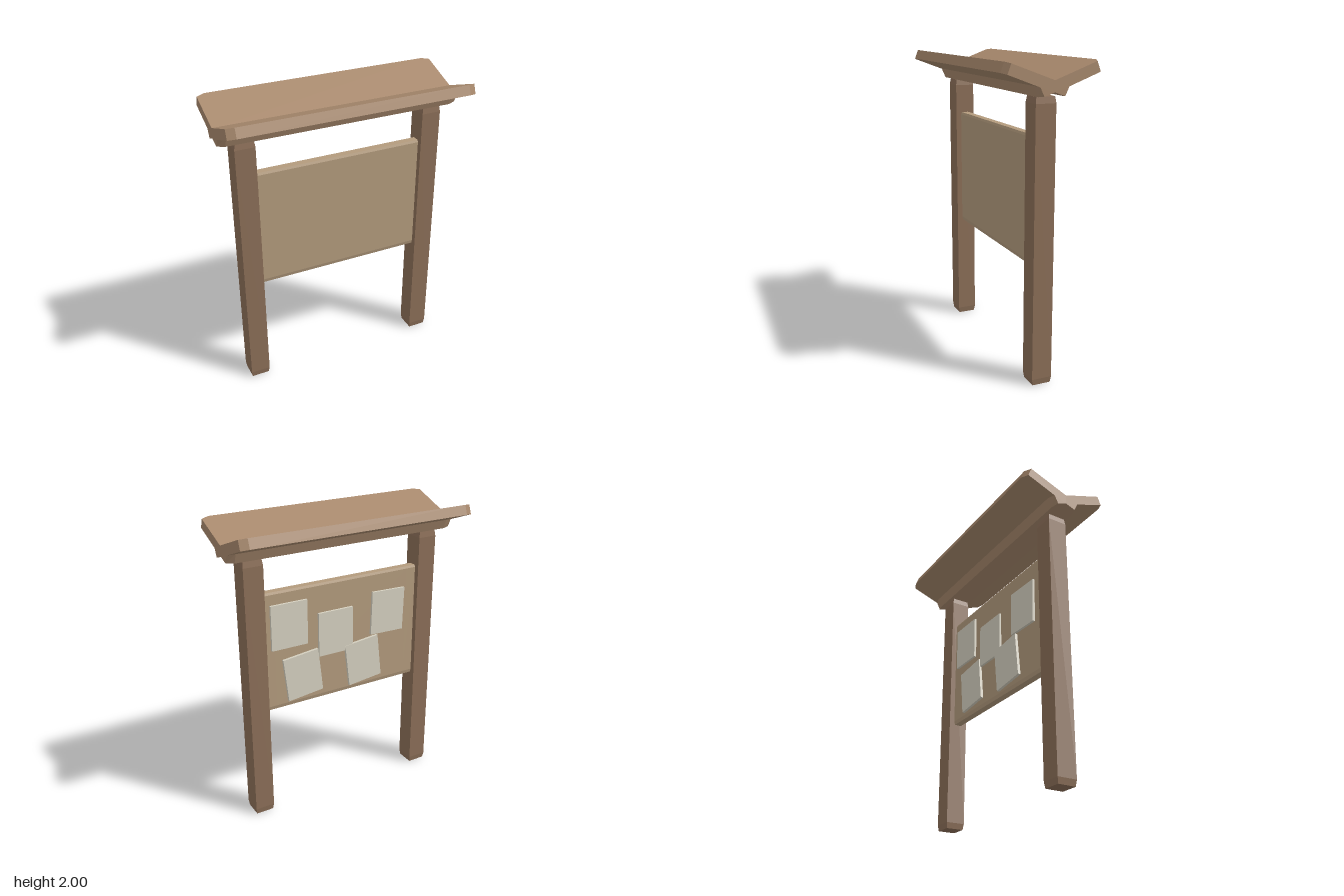
import * as THREE from 'three';

const paint = color => new THREE.MeshStandardMaterial({ color, flatShading: true });
const postWood = paint(0x8c6f58), roofWood = paint(0xa8896d), boardWood = paint(0xb39b7d), paper = paint(0xd5d0c0);

// Extrudes a profile through four stations; the two end sections are reshaped by taper(v).
function beam(points, stations, taper) {
  const shape = new THREE.Shape(points.map(([a, b]) => new THREE.Vector2(a, b)));
  const geo = new THREE.ExtrudeGeometry(shape, { depth: 3, steps: 3, bevelEnabled: false });
  const pos = geo.attributes.position, v = new THREE.Vector3();
  for (let i = 0; i < pos.count; i++) {
    v.fromBufferAttribute(pos, i);
    const k = Math.round(v.z);
    if (k === 0 || k === 3) taper(v);
    pos.setXYZ(i, v.x, v.y, stations[k]);
  }
  geo.computeVertexNormals();
  return geo;
}

function add(parent, name, geo, material) {
  const mesh = new THREE.Mesh(geo, material);
  mesh.name = name;
  parent.add(mesh);
  return mesh;
}

// Mirrors a half profile across its first axis into a closed outline.
const mirrored = half => [...half, ...half.filter(p => p[0] !== 0).reverse().map(([a, b]) => [-a, b])];

export function createModel() {
  const model = new THREE.Group();
  model.name = 'noticeBoard';

  // Posts, slightly narrowed at both ends
  const h = 0.066;
  const postGeo = beam([[-h, -h], [h, -h], [h, h], [-h, h]], [0, 0.04, 1.755, 1.795],
    v => { v.x *= 0.91; v.y *= 0.91; });
  postGeo.rotateX(-Math.PI / 2);
  for (const side of [-1, 1]) {
    add(model, side > 0 ? 'leftPost' : 'rightPost', postGeo, postWood).position.x = side * 0.64;
  }

  // V-shaped roof with a smaller V rail under it, corners clipped at the ends
  const valley = [0, 1.895], keel = [0, 1.828];
  const right = [[0.08, 1.8], [0.105, 1.863], [0.31, 1.94], [0.287, 2.0]];
  const roofOutline = [keel, ...right, valley, ...right.map(([z, y]) => [-z, y]).reverse()];
  const roofGeo = beam(roofOutline, [-0.81, -0.76, 0.76, 0.81], v => {
    const pull = Math.abs(v.x) > 0.2 ? 0.02 : Math.abs(v.x) > 0.05 ? 0.015 : 0;
    if (Math.abs(v.x) > 0.2) v.y -= 0.007;
    else if (pull) v.y += v.y < 1.83 ? 0.005 : -0.005;
    v.x -= Math.sign(v.x) * pull;
  });
  roofGeo.rotateY(Math.PI / 2);
  add(model, 'roof', roofGeo, roofWood);

  // Board with bevelled top and bottom edges
  const boardGeo = beam(mirrored([[0.024, 0.75], [0.03, 0.775], [0.03, 1.545], [0.024, 1.56]]),
    [-0.58, -0.5, 0.5, 0.58], () => {});
  boardGeo.rotateY(Math.PI / 2);
  add(model, 'board', boardGeo, boardWood);

  // Paper sheets pinned to the back: x, y, tilt
  const sheets = [[0.4, 1.325, 0], [0.06, 1.21, 0], [-0.347, 1.275, 0.03], [0.31, 0.955, -0.11], [-0.155, 0.952, -0.11]];
  const notes = new THREE.Group();
  notes.name = 'notes';
  model.add(notes);
  const sheetGeo = new THREE.BoxGeometry(0.258, 0.303, 0.022);
  sheets.forEach(([x, y, tilt], i) => {
    const sheet = add(notes, 'note' + (i + 1), sheetGeo, paper);
    sheet.position.set(x, y, -0.035 - (i > 2 ? 0.003 : 0));
    sheet.rotation.z = tilt;
  });

  return model;
}
